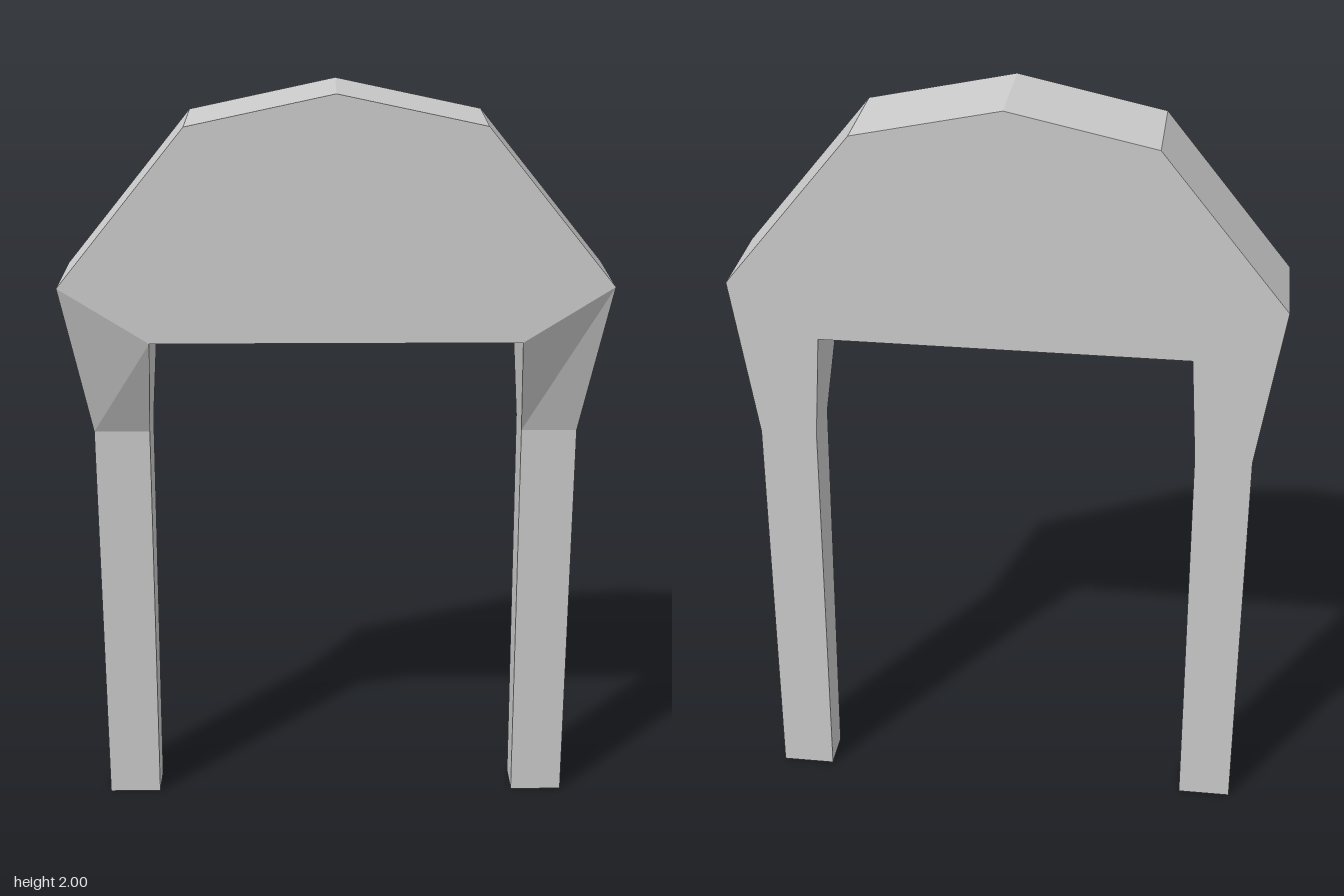
import * as THREE from 'three';

const DEPTH = 0.136; // half thickness

// Flat-shaded mesh from convex polygons, corners counter-clockwise from outside
function polyMesh(name, polygons, material) {
  const pos = [];
  for (const p of polygons)
    for (let i = 1; i < p.length - 1; i++) pos.push(...p[0], ...p[i], ...p[i + 1]);
  const geo = new THREE.BufferGeometry();
  geo.setAttribute('position', new THREE.Float32BufferAttribute(pos, 3));
  geo.computeVertexNormals();
  const mesh = new THREE.Mesh(geo, material);
  mesh.name = name;
  return mesh;
}

// Arched panel; the two shoulder edges stay open where the legs join
function archPanel(material) {
  const half = [[0.475, 1.37], [0.704, 1.515], [0.375, 1.92]];
  const mirrored = half.map(([x, y]) => [-x, y]).reverse();
  const outline = [...half, [0, 2], ...mirrored];
  const n = outline.length;
  const front = outline.map(([x, y]) => [x, y, DEPTH]);
  const back = outline.map(([x, y]) => [x, y, -DEPTH]);
  const polygons = [front, [...back].reverse()];
  for (let i = 0; i < n; i++) {
    if (i === 0 || i === n - 2) continue;
    const j = (i + 1) % n;
    polygons.push([back[i], back[j], front[j], front[i]]);
  }
  return polyMesh('archPanel', polygons, material);
}

// Leg lofted through foot, knee and shoulder sections
function leg(name, side, material) {
  const sections = [ // inner x, inner y, outer x, outer y, front z
    [0.5, 0, 0.64, 0, -0.027],
    [0.493, 1.09, 0.64, 1.09, 0],
    [0.475, 1.37, 0.704, 1.515, DEPTH],
  ];
  const rings = sections.map(([xi, yi, xo, yo, z]) => {
    const ring = [
      [side * xi, yi, z], [side * xo, yo, z],
      [side * xo, yo, -DEPTH], [side * xi, yi, -DEPTH],
    ];
    return side < 0 ? ring.reverse() : ring;
  });
  const polygons = [[...rings[0]].reverse()]; // sole
  for (let s = 0; s < rings.length - 1; s++)
    for (let i = 0; i < 4; i++) {
      const j = (i + 1) % 4;
      polygons.push([rings[s][i], rings[s][j], rings[s + 1][j], rings[s + 1][i]]);
    }
  return polyMesh(name, polygons, material);
}

export function createModel() {
  const material = new THREE.MeshStandardMaterial({ color: 0xcccccc, flatShading: true });
  const group = new THREE.Group();
  group.name = 'archedFrame';
  group.add(archPanel(material), leg('leftLeg', 1, material), leg('rightLeg', -1, material));
  return group;
}
